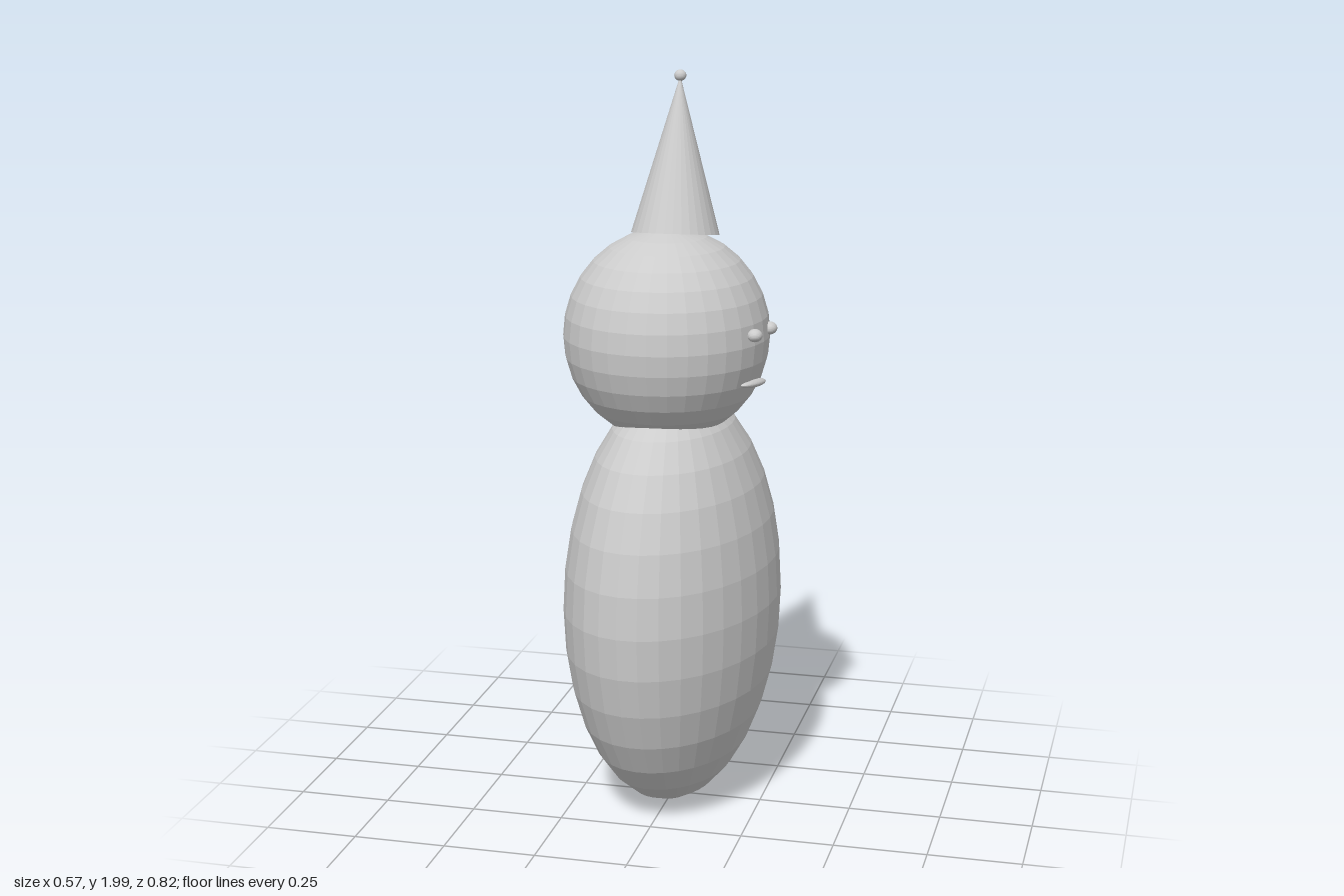
import * as THREE from 'three';

const material = new THREE.MeshStandardMaterial({ color: 0xcccccc, flatShading: true });

export function createModel() {
  const model = new THREE.Group();

  // Faceted ellipsoid: centre, radii, turn about y, tilt about x
  function ellipsoid(name, centre, radii, turn = 0, tilt = 0) {
    const mesh = new THREE.Mesh(new THREE.SphereGeometry(1, 32, 16), material);
    mesh.name = name;
    mesh.position.set(...centre);
    mesh.scale.set(...radii);
    mesh.rotation.set(tilt, turn, 0, 'YXZ');
    model.add(mesh);
    return mesh;
  }

  // Body, flattened sideways and turned slightly, with the head sunk into it
  ellipsoid('body', [0.005, 0.59, 0], [0.275, 0.582, 0.412], -0.132);
  ellipsoid('head', [-0.014, 1.315, 0.003], [0.273, 0.283, 0.288], -0.132);

  // Face on the +x side
  ellipsoid('leftEye', [0.258, 1.338, -0.027], [0.02, 0.017, 0.022]);
  ellipsoid('rightEye', [0.246, 1.345, 0.107], [0.02, 0.017, 0.022]);
  ellipsoid('mouth', [0.23, 1.205, 0.05], [0.021, 0.011, 0.073], -0.19, -0.1);

  // Pointed hat leaning back, from base centre to tip
  const base = new THREE.Vector3(-0.003, 1.576, -0.045);
  const tip = new THREE.Vector3(-0.006, 1.985, -0.112);
  const axis = tip.clone().sub(base);
  const height = axis.length();
  const hat = new THREE.Mesh(
    new THREE.ConeGeometry(1, height, 32).scale(0.117, 1, 0.127), material);
  hat.name = 'hat';
  hat.position.copy(base).addScaledVector(axis, 0.5);
  hat.quaternion.setFromUnitVectors(new THREE.Vector3(0, 1, 0), axis.normalize());
  model.add(hat);

  // Bobble on the tip
  ellipsoid('hatBobble', tip.toArray(), [0.016, 0.015, 0.016]);

  return model;
}
